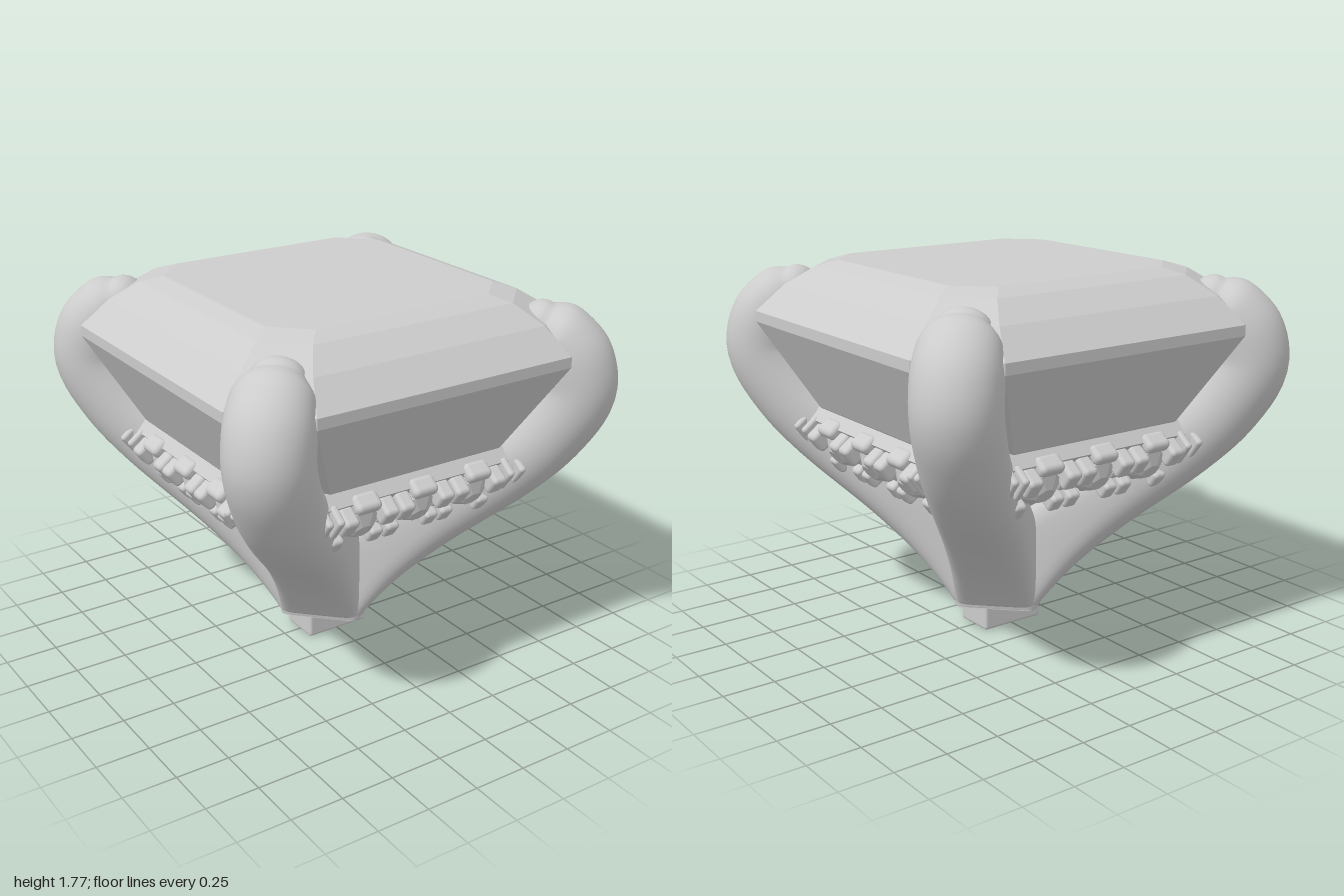
import * as THREE from 'three';
import { RoundedBoxGeometry } from 'three/addons/geometries/RoundedBoxGeometry.js';

const grey = new THREE.MeshStandardMaterial({ color: 0xcccccc });
grey.name = 'grey';

function mesh(name, geometry, parent, x = 0, y = 0, z = 0) {
  const m = new THREE.Mesh(geometry, grey);
  m.name = name;
  m.position.set(x, y, z);
  parent.add(m);
  return m;
}

// Non-indexed copy with one normal per face
function faceted(geometry) {
  const g = geometry.index ? geometry.toNonIndexed() : geometry;
  g.computeVertexNormals();
  return g;
}

// Joins rings of equal length; the first and last are closed with a fan
function loft(rings) {
  const n = rings[0].length, points = [], index = [];
  rings.forEach(r => r.forEach(p => points.push(p)));
  for (let i = 0; i < rings.length - 1; i++) {
    for (let j = 0; j < n; j++) {
      const a = i * n + j, b = i * n + (j + 1) % n;
      index.push(a, a + n, b, b, a + n, b + n);
    }
  }
  for (const [ring, flip] of [[rings[0], false], [rings[rings.length - 1], true]]) {
    const start = points.length;
    const centre = new THREE.Vector3();
    ring.forEach(p => { points.push(p.clone()); centre.addScaledVector(p, 1 / n); });
    points.push(centre);
    for (let j = 0; j < n; j++) {
      const a = start + j, b = start + (j + 1) % n;
      index.push(start + n, ...(flip ? [b, a] : [a, b]));
    }
  }
  const g = new THREE.BufferGeometry().setFromPoints(points);
  g.setIndex(index);
  g.computeVertexNormals();
  return g;
}

// Step-cut stone: [height, half width, half length of the straight edge]
function gemGeometry() {
  const tiers = [
    [0.52, 0.06, 0.03], [0.8, 0.45, 0.25], [1.09, 0.72, 0.46], [1.49, 0.93, 0.66],
    [1.54, 0.93, 0.66], [1.66, 0.81, 0.6], [1.745, 0.685, 0.52], [1.775, 0.6, 0.45],
  ];
  return faceted(loft(tiers.map(([y, r, c]) =>
    [[r, -c], [r, c], [c, r], [-c, r], [-r, c], [-r, -c], [-c, -r], [c, -r]]
      .map(([x, z]) => new THREE.Vector3(x, y, z)))));
}

// Claw: [radius from axis, height, half depth, half width, squareness]
function clawGeometry() {
  const stations = [
    [0.03, 0.12, 0.17, 0.2, 8], [0.04, 0.21, 0.185, 0.2, 7], [0.23, 0.46, 0.195, 0.2, 4],
    [0.5, 0.69, 0.19, 0.2, 2.7], [0.854, 0.96, 0.19, 0.19, 2.2], [1.03, 1.135, 0.19, 0.19, 2],
    [1.14, 1.33, 0.19, 0.19, 2], [1.12, 1.47, 0.185, 0.19, 2],
    [1.05, 1.58, 0.155, 0.175, 2], [0.97, 1.635, 0.1, 0.12, 2],
  ];
  const path = new THREE.CatmullRomCurve3(stations.map(s => new THREE.Vector3(s[0], s[1], 0)));
  const size = new THREE.CatmullRomCurve3(
    stations.map(s => new THREE.Vector3(s[2], s[3], s[4])), false, 'catmullrom', 0.3);
  const rings = [], sides = 40, steps = 54, capSteps = 8;
  const power = (v, n) => Math.sign(v) * Math.pow(Math.abs(v), 2 / n);
  for (let i = 0; i <= steps + capSteps; i++) {
    const t = Math.min(1, i / steps);
    const cap = Math.max(0, i - steps) / capSteps * Math.PI / 2 * 0.98;
    const T = path.getTangent(t), S = size.getPoint(t);
    const C = path.getPoint(t).addScaledVector(T, 0.09 * Math.sin(cap));
    const k = Math.cos(cap), ring = [];
    for (let j = 0; j < sides; j++) {
      const a = j / sides * Math.PI * 2;
      const u = power(Math.cos(a), S.z) * S.x * k;
      const w = power(Math.sin(a), S.z) * S.y * k;
      const y = C.y - T.x * u;
      ring.push(new THREE.Vector3(C.x + T.y * u, i === 0 ? 0.12 : Math.max(0.12, y), w));
    }
    rings.push(ring);
  }
  return loft(rings);
}

// Sloping rail under one side of the stone, seen in section
function railGeometry() {
  const section = [[0.58, 0.82], [0.72, 0.99], [0.755, 1.03], [0.71, 1.09], [0.5, 1.09], [0.4, 0.82]];
  const shape = new THREE.Shape(section.map(([z, y]) => new THREE.Vector2(-z, y)));
  const g = new THREE.ExtrudeGeometry(shape, { depth: 1.0, bevelEnabled: false });
  g.translate(0, 0, -0.5);
  g.rotateY(Math.PI / 2);
  return g;
}

// Small faceted accent stone facing +z
function accentGeometry() {
  const g = new THREE.CylinderGeometry(0.045, 0.1, 0.04, 8);
  g.rotateY(Math.PI / 8);
  g.rotateX(Math.PI / 2);
  return faceted(g);
}

function createModel() {
  const model = new THREE.Group();
  model.name = 'gemSetting';

  mesh('centreStone', gemGeometry(), model);
  mesh('peg', new RoundedBoxGeometry(0.33, 0.14, 0.205, 3, 0.015), model, 0, 0.07, 0);

  const claw = clawGeometry(), rail = railGeometry(), accent = accentGeometry();
  const seat = new THREE.CylinderGeometry(0.1, 0.1, 0.05, 8);
  seat.rotateY(Math.PI / 8);
  seat.rotateX(Math.PI / 2);
  const seatFlat = faceted(seat);
  const bead = new RoundedBoxGeometry(0.068, 0.085, 0.1, 3, 0.018);
  const upperBead = new RoundedBoxGeometry(0.075, 0.1, 0.1, 3, 0.02);
  const arch = new RoundedBoxGeometry(0.13, 0.06, 0.09, 3, 0.025);
  const bridge = new RoundedBoxGeometry(0.1, 0.06, 0.07, 3, 0.015);
  const fin = new RoundedBoxGeometry(0.035, 0.13, 0.1, 3, 0.015);

  for (let k = 0; k < 4; k++) {
    mesh('claw', claw, model).rotation.y = Math.PI / 4 + k * Math.PI / 2;

    const side = new THREE.Group();
    side.name = 'accentRow';
    side.rotation.y = k * Math.PI / 2;
    model.add(side);
    mesh('rail', rail, side);

    // Face of the rail, leaning outward at the top
    const face = new THREE.Group();
    face.name = 'railFace';
    face.position.set(0, 0.91, 0.675);
    face.rotation.x = 0.65;
    side.add(face);
    for (const x of [-0.3, 0, 0.3]) {
      mesh('accentSeat', seatFlat, face, x, 0.01, 0);
      mesh('accentStone', accent, face, x, 0.01, 0.045);
      mesh('scallop', arch, face, x, 0.135, -0.005);
    }
    for (const s of [-1, 1]) {
      for (const x of [0.107, 0.193, 0.4]) {
        mesh('lowerBead', bead, face, s * x, -0.085, 0.02);
        mesh('upperBead', upperBead, face, s * x, 0.085, 0.03);
      }
      mesh('bridge', bridge, face, s * 0.15, 0, 0);
      mesh('endFin', fin, face, s * 0.46, 0.09, 0.02);
      mesh('endFin', fin, face, s * 0.52, 0.1, 0.02);
    }
  }
  return model;
}

export { createModel };
